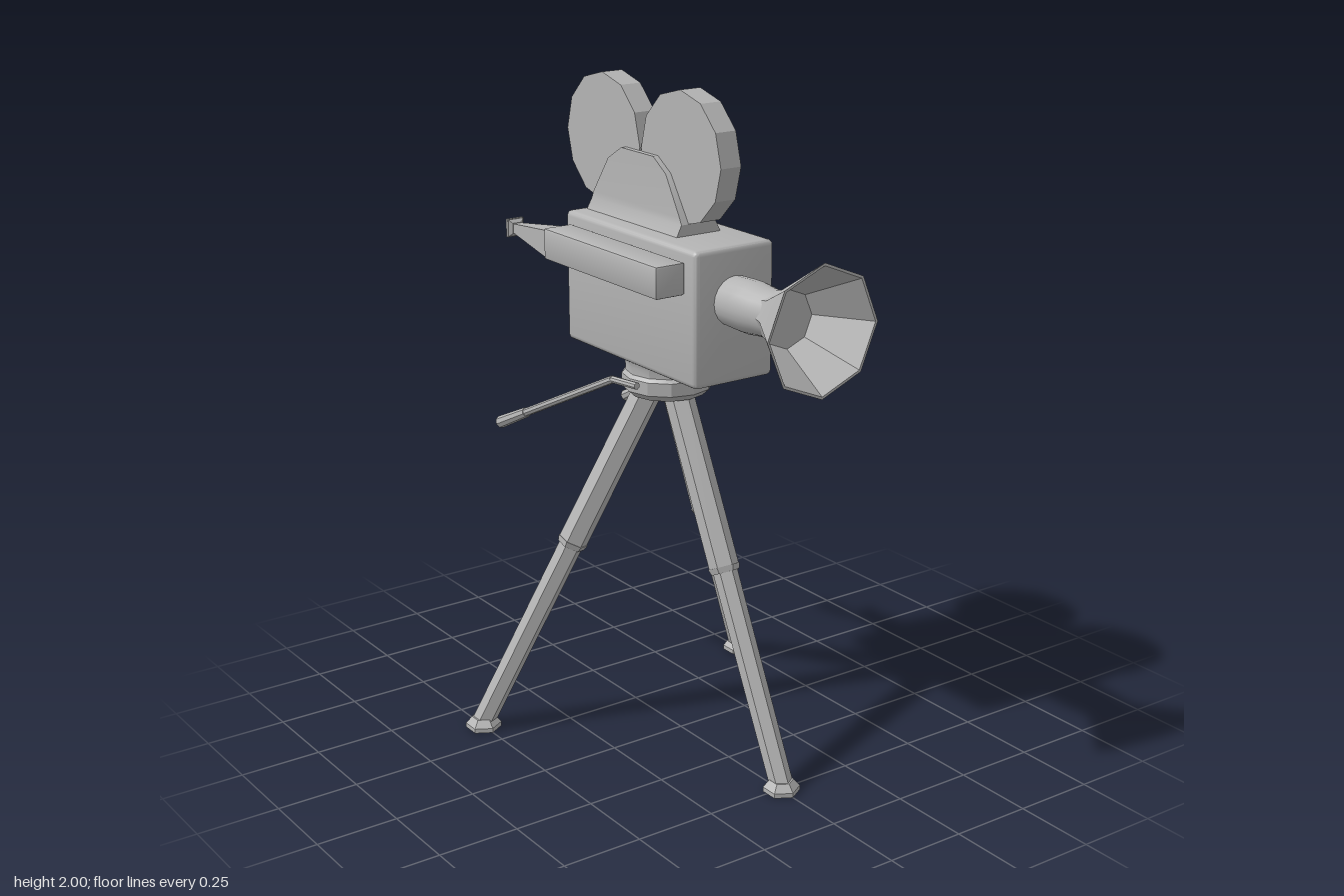
import * as THREE from 'three';
import { toCreasedNormals } from 'three/addons/utils/BufferGeometryUtils.js';
import { RoundedBoxGeometry } from 'three/addons/geometries/RoundedBoxGeometry.js';

const CENTRE_Z = -0.07;

export function createModel() {
  const model = new THREE.Group();
  model.name = 'movieCamera';
  const grey = new THREE.MeshStandardMaterial({ color: 0xb4b4b4 });
  grey.name = 'grey';

  const add = (name, geometry, x = 0, y = 0, z = 0, parent = model) => {
    const mesh = new THREE.Mesh(toCreasedNormals(geometry, 0.5), grey);
    mesh.name = name;
    mesh.position.set(x, y, z);
    parent.add(mesh);
    return mesh;
  };
  const lathe = (points, sides) =>
    new THREE.LatheGeometry(points.map(([r, y]) => new THREE.Vector2(r, y)), sides);

  // Straight bar between two points
  const bar = (name, a, b, r0, r1, sides, parent = model) => {
    const dir = b.clone().sub(a);
    const mesh = add(name, new THREE.CylinderGeometry(r1, r0, dir.length(), sides), 0, 0, 0, parent);
    mesh.position.copy(a).add(b).multiplyScalar(0.5);
    mesh.quaternion.setFromUnitVectors(new THREE.Vector3(0, 1, 0), dir.normalize());
    return mesh;
  };

  // Camera body
  add('body', new RoundedBoxGeometry(0.276, 0.4, 0.665, 2, 0.016), 0, 1.392, CENTRE_Z);

  // Film reels
  for (const z of [0.045, -0.35]) {
    add('filmReel', new THREE.CylinderGeometry(0.194, 0.194, 0.07, 12).rotateZ(Math.PI / 2), 0, 1.808, z);
  }

  // Reel bracket: a box whose rows follow [y, half width, back z, front z]
  const rows = [
    [1.58, 0.083, -0.378, 0.088], [1.625, 0.06, -0.375, 0.087], [1.645, 0.058, -0.369, 0.074],
    [1.757, 0.053, -0.296, 0.0], [1.798, 0.052, -0.228, -0.064],
  ];
  const bracket = new THREE.BoxGeometry(2, rows.length - 1, 2, 1, rows.length - 1, 1);
  const p = bracket.attributes.position;
  for (let i = 0; i < p.count; i++) {
    const [y, w, back, front] = rows[Math.round(p.getY(i) + (rows.length - 1) / 2)];
    p.setXYZ(i, p.getX(i) * w, y, p.getZ(i) > 0 ? front : back);
  }
  add('reelBracket', bracket);

  // Lens barrel and octagonal hood
  const barrel = [[0.073, 0.25], [0.076, 0.32], [0.076, 0.36], [0.07, 0.41], [0.068, 0.48]];
  add('lensBarrel', lathe(barrel, 20).rotateX(Math.PI / 2), 0, 1.434, 0);
  const hood = [[0.064, 0.43], [0.078, 0.475], [0.19, 0.655], [0.182, 0.655], [0.085, 0.5], [0, 0.5]];
  add('lensHood', lathe(hood, 8).rotateX(Math.PI / 2), 0, 1.434, 0);

  // Viewfinder on the right side, with a square tapering eyepiece
  add('viewfinder', new RoundedBoxGeometry(0.098, 0.094, 0.582, 1, 0.006), -0.193, 1.51, -0.07);
  const eyepiece = new THREE.Group();
  eyepiece.name = 'eyepiece';
  eyepiece.position.set(-0.194, 1.508, 0);
  model.add(eyepiece);
  const taper = new THREE.CylinderGeometry(0.014 * Math.SQRT2, 0.042 * Math.SQRT2, 0.235, 4);
  add('eyepieceTaper', taper.rotateY(Math.PI / 4).rotateX(-Math.PI / 2), 0, 0, -0.475, eyepiece);
  const flange = new THREE.CylinderGeometry(0.028 * Math.SQRT2, 0.016 * Math.SQRT2, 0.012, 4);
  add('eyepieceFlange', flange.rotateY(Math.PI / 4).rotateX(-Math.PI / 2), 0, 0, -0.596, eyepiece);
  add('eyepieceRim', new THREE.BoxGeometry(0.056, 0.056, 0.01), 0, 0, -0.605, eyepiece);

  // Tripod head
  const head = [[0, 1.085], [0.115, 1.085], [0.136, 1.105], [0.136, 1.145], [0.125, 1.155], [0.125, 1.18], [0.132, 1.2], [0, 1.2]];
  add('tripodHead', lathe(head, 12), 0, 0, CENTRE_Z);

  // Three telescopic hexagonal legs, the first pointing forward
  for (let i = 0; i < 3; i++) {
    const leg = new THREE.Group();
    leg.name = 'tripodLeg';
    leg.position.z = CENTRE_Z;
    leg.rotation.y = (i * Math.PI * 2) / 3;
    model.add(leg);
    const top = new THREE.Vector3(0, 1.12, 0.042);
    const foot = new THREE.Vector3(0, 0.02, 0.578);
    const at = (t) => top.clone().lerp(foot, t);
    bar('upperLeg', at(0.465), at(0), 0.045, 0.045, 6, leg);
    bar('legCollar', at(0.475), at(0.46), 0.042, 0.048, 6, leg);
    bar('lowerLeg', at(1), at(0.46), 0.035, 0.037, 6, leg);
    add('foot', lathe([[0, 0], [0.055, 0], [0.055, 0.014], [0.036, 0.036], [0, 0.036]], 6), 0, 0, 0.578, leg);
  }

  // Pan handles, mirrored on both sides
  for (const s of [1, -1]) {
    const start = new THREE.Vector3(s * 0.147, 1.138, -0.015);
    const bend = new THREE.Vector3(s * 0.162, 1.135, -0.12);
    const end = new THREE.Vector3(s * 0.24, 0.875, -0.645);
    const grip = bend.clone().lerp(end, 0.76);
    bar('handleArm', start, bend, 0.011, 0.011, 8);
    bar('handleRod', bend, grip, 0.012, 0.013, 8);
    bar('handleGrip', grip, end, 0.016, 0.02, 8);
  }
  return model;
}
